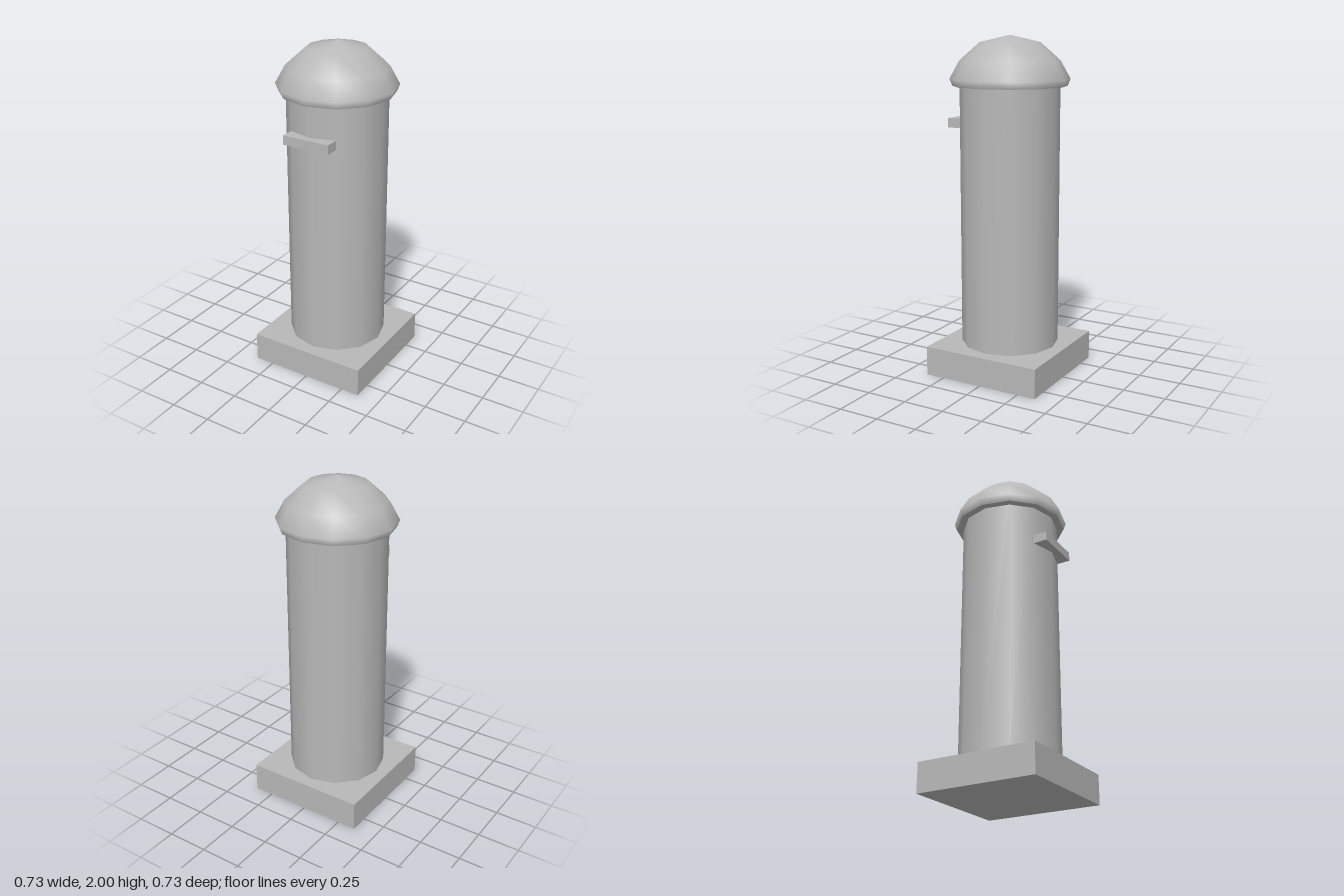
import * as THREE from 'three';

const SIDES = 12;

export function createModel() {
  const model = new THREE.Group();
  model.name = 'pillar';

  const grey = new THREE.MeshStandardMaterial({ color: 0xb8b8b8 });
  grey.name = 'stone grey';

  const add = (name, geometry, y, z = 0) => {
    const mesh = new THREE.Mesh(geometry, grey);
    mesh.name = name;
    mesh.position.set(0, y, z);
    model.add(mesh);
    return mesh;
  };

  // square plinth
  add('base', new THREE.BoxGeometry(0.728, 0.175, 0.728), 0.0875);

  // twelve-sided shaft, reaching a little into the cap
  add('shaft', new THREE.CylinderGeometry(0.291, 0.291, 1.56, SIDES), 0.175 + 0.78);

  // domed cap, widest just above its tucked-in rim
  const profile = [
    [0.333, 1.712], [0.349, 1.752], [0.291, 1.856], [0.175, 1.959], [0, 2],
  ].map(([r, y]) => new THREE.Vector2(r, y));
  add('cap', new THREE.LatheGeometry(profile, SIDES), 0);

  // flat underside of the cap
  const underside = new THREE.CircleGeometry(0.333, SIDES);
  underside.rotateX(Math.PI / 2);
  add('capUnderside', underside, 1.712);

  // small ledge on the front
  add('frontLedge', new THREE.BoxGeometry(0.291, 0.055, 0.082), 1.494, 0.293);

  return model;
}
